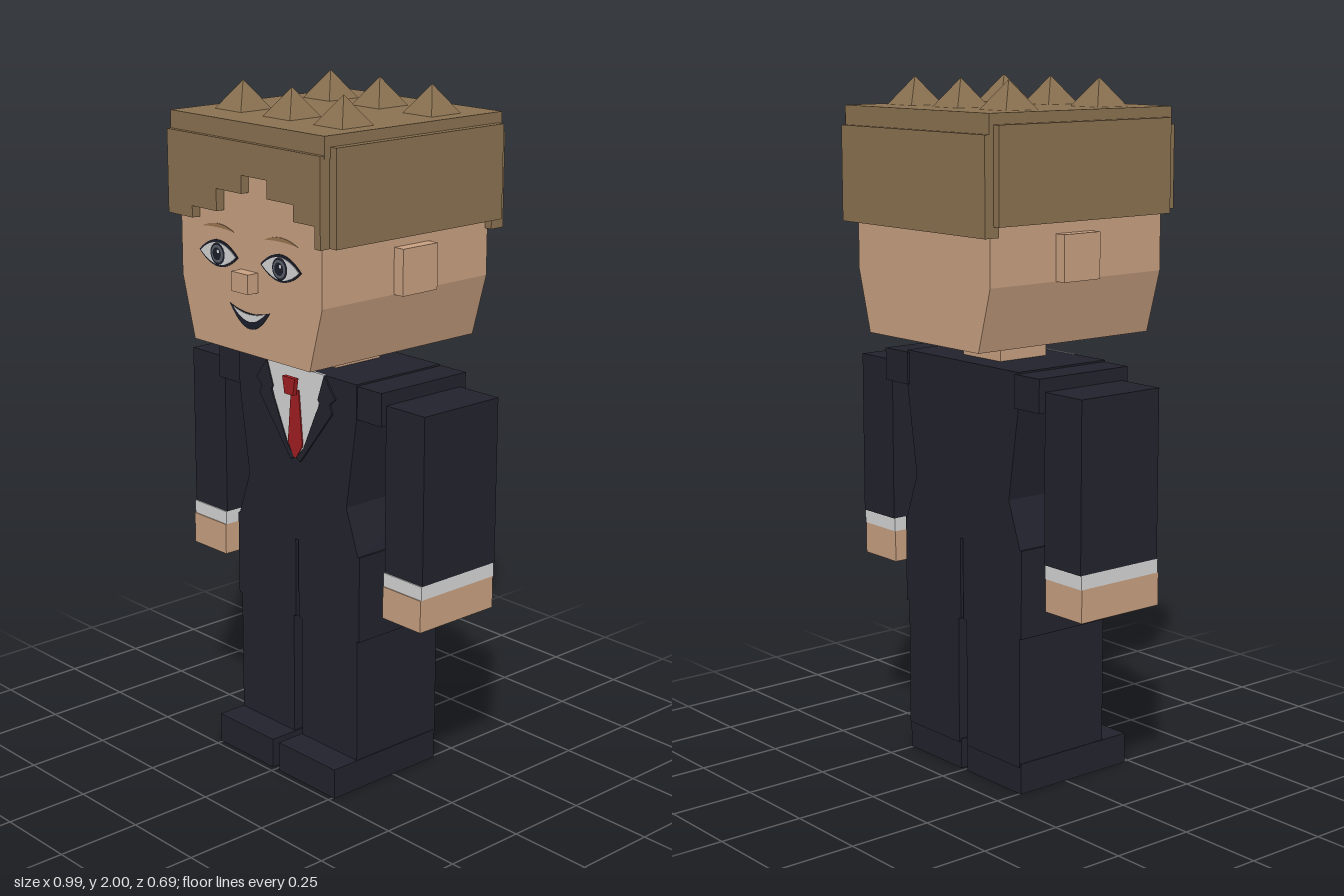
import * as THREE from 'three';

const mat = (name, color) => {
  const m = new THREE.MeshStandardMaterial({ color });
  m.name = name;
  return m;
};

export function createModel() {
  const skin = mat('skin', 0xc8a080), hair = mat('hair', 0x8a7150), suit = mat('suit', 0x22222d);
  const white = mat('shirtWhite', 0xd4d4d4), red = mat('tieRed', 0xa01e22);
  const dark = mat('faceDark', 0x1c1e2a), iris = mat('irisGrey', 0x596068), brow = mat('brow', 0x9a7550);

  const model = new THREE.Group();
  model.name = 'suitedFigure';

  const add = (name, geometry, material) => {
    const mesh = new THREE.Mesh(geometry, material);
    mesh.name = name;
    model.add(mesh);
    return mesh;
  };
  // Box given by its limits on each axis
  const box = (name, material, [x0, x1], [y0, y1], [z0, z1]) =>
    add(name, new THREE.BoxGeometry(x1 - x0, y1 - y0, z1 - z0), material)
      .position.set((x0 + x1) / 2, (y0 + y1) / 2, (z0 + z1) / 2);
  const pair = (name, material, [x0, x1], y, z) => {
    box(name + 'Left', material, [x0, x1], y, z);
    box(name + 'Right', material, [-x1, -x0], y, z);
  };
  // Front outline pushed from z0 to z1
  const slab = (name, material, pts, z0, z1) => {
    const shape = new THREE.Shape(pts.map(([x, y]) => new THREE.Vector2(x, y)));
    const g = new THREE.ExtrudeGeometry(shape, { depth: z1 - z0, bevelEnabled: false });
    add(name, g.translate(0, 0, z0), material);
  };
  const mirror = (half) => [...half, ...half.map(([x, y]) => [-x, y]).reverse()];
  // Region between two parabolic arcs: ends at y, middles at yTop and yBottom
  const lens = (cx, y, halfWidth, yTop, yBottom) => {
    const top = [], bottom = [], n = 14;
    for (let i = 0; i <= n; i++) {
      const t = (i / n) * 2 - 1, k = 1 - t * t;
      top.push([cx + t * halfWidth, y + (yTop - y) * k]);
      if (i > 0 && i < n) bottom.unshift([cx + t * halfWidth, y + (yBottom - y) * k]);
    }
    return [...top, ...bottom];
  };

  // Head with tapered jaw
  slab('head', skin, mirror([[0.245, 1.28], [0.295, 1.46], [0.295, 1.88]]), -0.31, 0.31);
  pair('ear', skin, [0.29, 0.33], [1.46, 1.59], [-0.08, 0.05]);
  box('nose', skin, [-0.035, 0.035], [1.46, 1.515], [0.3, 0.347]);
  box('neck', skin, [-0.083, 0.083], [1.2, 1.29], [-0.1, 0.07]);

  // Eyes and brows
  for (const s of [1, -1]) {
    const cx = s * 0.131, cy = 1.543;
    const side = s > 0 ? 'Left' : 'Right';
    slab('eyeOutline' + side, dark, lens(cx, cy, 0.084, 1.582, 1.506), 0.308, 0.312);
    slab('eyeWhite' + side, white, lens(cx, cy, 0.076, 1.574, 1.512), 0.308, 0.314);
    const disc = (name, m, r, z, dx = 0, dy = 0) =>
      add(name + side, new THREE.CircleGeometry(r, 20), m).position.set(cx + dx, cy + dy, z);
    disc('irisRim', dark, 0.031, 0.3155);
    disc('iris', iris, 0.025, 0.317);
    disc('pupil', dark, 0.018, 0.3185);
    disc('glint', white, 0.005, 0.32, 0.007, 0.008);
    slab('brow' + side, brow, lens(cx, 1.612, 0.068, 1.627, 1.616), 0.308, 0.312);
  }

  // Smile
  slab('mouth', dark, lens(0, 1.412, 0.084, 1.397, 1.352), 0.308, 0.312);
  slab('teeth', white, lens(0, 1.406, 0.068, 1.394, 1.374), 0.308, 0.314);

  // Hair cap, panels, stepped fringe and spikes
  box('hairTop', hair, [-0.319, 0.319], [1.86, 1.92], [-0.333, 0.323]);
  pair('hairSide', hair, [0.29, 0.341], [1.625, 1.89], [-0.318, 0.302]);
  box('hairBack', hair, [-0.319, 0.319], [1.595, 1.865], [-0.347, -0.3]);
  slab('fringe', hair, [
    [-0.318, 1.87], [-0.318, 1.635], [-0.212, 1.635], [-0.212, 1.668], [-0.106, 1.668], [-0.106, 1.73],
    [0, 1.73], [0, 1.78], [0.106, 1.78], [0.106, 1.73], [0.212, 1.73], [0.212, 1.685],
    [0.295, 1.685], [0.295, 1.625], [0.318, 1.625], [0.318, 1.87],
  ], 0.305, 0.337);
  for (const x of [-0.2, 0.005, 0.212]) for (const z of [-0.167, 0.159]) {
    const g = new THREE.ConeGeometry(0.056 * Math.SQRT2, 0.08, 4, 1).rotateY(Math.PI / 4).toNonIndexed();
    g.computeVertexNormals();
    add('hairSpike', g, hair).position.set(x, 1.96, z);
  }

  // Jacket
  slab('jacket', suit, mirror([[0.263, 0.7], [0.21, 0.85], [0.25, 1.11], [0.25, 1.215]]), -0.175, 0.145);
  pair('shoulder', suit, [0.24, 0.346], [1.115, 1.21], [-0.182, 0.142]);
  slab('shirt', white, mirror([[0.004, 0.95], [0.035, 0.985], [0.09, 1.1], [0.122, 1.216]]), 0.14, 0.147);
  for (const s of [1, -1]) {
    slab('lapel', suit, [
      [0.122, 1.215], [0.168, 1.155], [0.145, 1.135], [0.155, 1.11], [0.02, 0.94], [0.004, 0.95],
      [0.035, 0.985], [0.088, 1.1], [0.105, 1.13], [0.095, 1.14],
    ].map(([x, y]) => [s * x, y]), 0.143, 0.15);
  }

  // Tie
  slab('tie', red, mirror([[0.004, 0.948], [0.031, 0.99], [0.016, 1.15]]), 0.145, 0.151);
  slab('tieKnot', red, mirror([[0.018, 1.14], [0.027, 1.19]]), 0.16, 0.174);

  // Arms
  pair('sleeve', suit, [0.344, 0.493], [0.69, 1.172], [-0.16, 0.123]);
  pair('cuff', white, [0.344, 0.493], [0.65, 0.69], [-0.157, 0.127]);
  pair('hand', skin, [0.344, 0.493], [0.556, 0.65], [-0.155, 0.13]);

  // Legs and shoes
  pair('thigh', suit, [0.006, 0.264], [0.46, 0.715], [-0.175, 0.145]);
  pair('trouserLeg', suit, [0.018, 0.254], [0.08, 0.47], [-0.173, 0.143]);
  pair('shoe', suit, [0.014, 0.256], [0, 0.09], [-0.168, 0.232]);

  return model;
}
